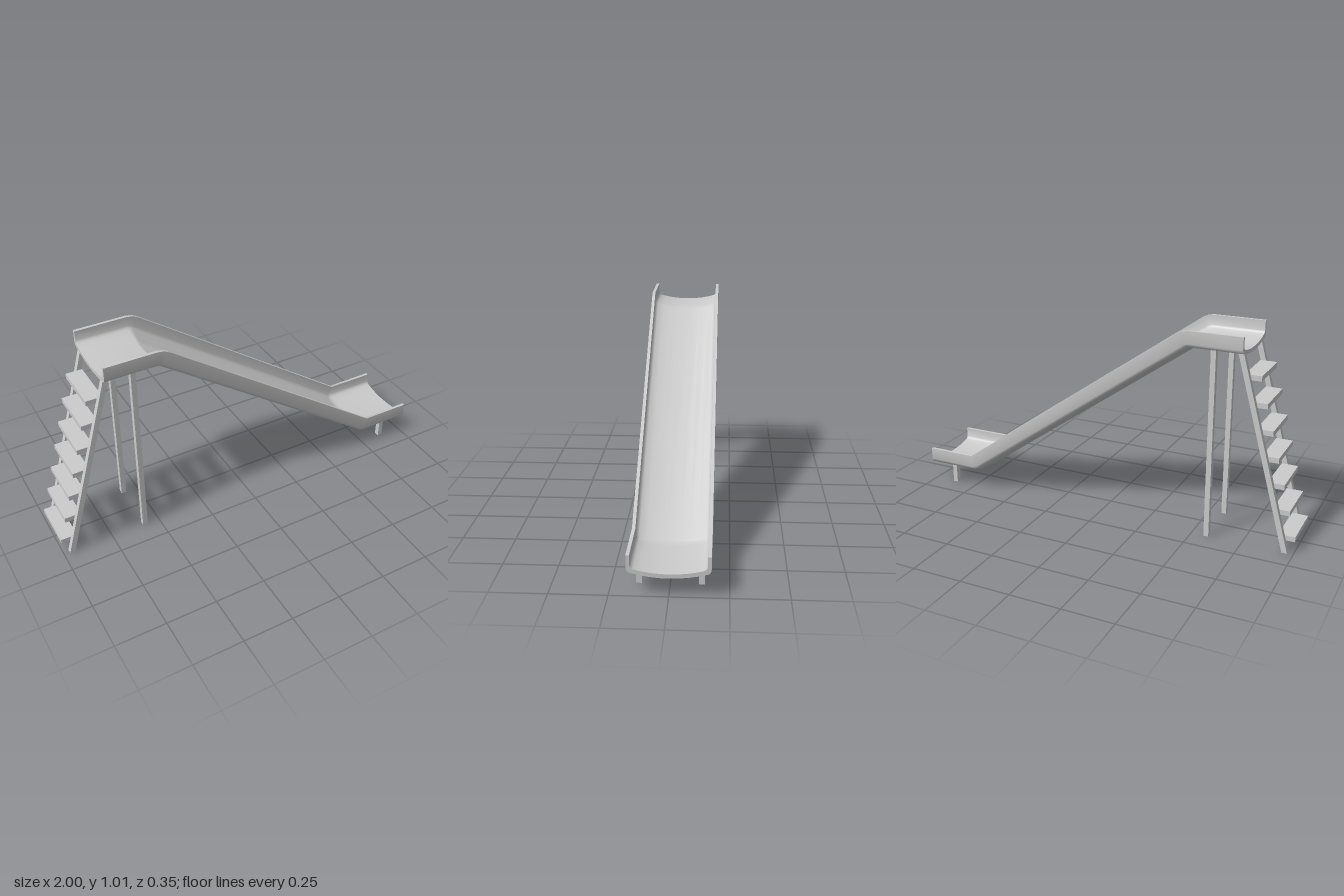
import * as THREE from 'three';
import { toCreasedNormals } from 'three/addons/utils/BufferGeometryUtils.js';

const material = new THREE.MeshStandardMaterial({ color: 0xcccccc });

function addMesh(parent, name, geometry, x = 0, y = 0, z = 0) {
  const mesh = new THREE.Mesh(geometry, material);
  mesh.name = name;
  mesh.position.set(x, y, z);
  parent.add(mesh);
  return mesh;
}

// Trough section swept along the run; each station is [x, y, tilt]
function chuteGeometry() {
  const half = [
    [0.03, 0], [0.08, 0.005], [0.115, 0.011], [0.147, 0.018], [0.163, 0.022], [0.171, 0.029], [0.175, 0.04], [0.175, 0.1],
    [0.16, 0.1], [0.16, 0.053], [0.156, 0.045], [0.147, 0.038], [0.115, 0.03], [0.075, 0.023], [0.03, 0.019],
  ];
  const profile = [...half, ...half.map(([z, h]) => [-z, h]).reverse()]
    .map(([z, h]) => new THREE.Vector2(z, h));
  const tilt = 0.611;
  const stations = [
    [-0.72, 0.91, 0], [-0.466, 0.91, 0], [-0.464, 0.9095, tilt / 2], [-0.462, 0.908, tilt],
    [0.69, 0.1, tilt], [0.713, 0.088, tilt / 2], [0.74, 0.084, 0], [1, 0.084, 0],
  ];
  const n = profile.length;
  const positions = [];
  for (const [x, y, a] of stations) {
    for (const p of profile) positions.push(x + p.y * Math.sin(a), y + p.y * Math.cos(a), p.x);
  }
  const index = [];
  for (let s = 0; s < stations.length - 1; s++) {
    for (let i = 0; i < n; i++) {
      const a = s * n + i, b = s * n + (i + 1) % n;
      index.push(a, a + n, b, b, a + n, b + n);
    }
  }
  // End faces
  const last = (stations.length - 1) * n;
  for (const [a, b, c] of THREE.ShapeUtils.triangulateShape(profile, [])) {
    index.push(a, b, c, last + a, last + c, last + b);
  }
  const geometry = new THREE.BufferGeometry();
  geometry.setAttribute('position', new THREE.Float32BufferAttribute(positions, 3));
  geometry.setIndex(index);
  return toCreasedNormals(geometry, 0.75);
}

export function createModel() {
  const model = new THREE.Group();
  model.name = 'slide';
  addMesh(model, 'chute', chuteGeometry());

  // Ladder rails, cut level at the ground
  const ladder = new THREE.Group();
  ladder.name = 'ladder';
  model.add(ladder);
  const railShape = new THREE.Shape([
    [-0.972, 0], [-0.946, 0], [-0.691, 0.927], [-0.717, 0.927],
  ].map(([x, y]) => new THREE.Vector2(x, y)));
  const rail = new THREE.ExtrudeGeometry(railShape, { depth: 0.026, bevelEnabled: false });
  rail.translate(0, 0, -0.013);

  for (const side of [1, -1]) {
    const z = side * 0.133;
    const label = side > 0 ? 'left' : 'right';
    addMesh(ladder, label + 'Rail', rail, 0, 0, z);
    // Tall posts under the platform, short posts under the exit
    addMesh(model, label + 'TallPost', new THREE.BoxGeometry(0.025, 0.93, 0.026), -0.575, 0.465, z);
    addMesh(model, label + 'ShortPost', new THREE.BoxGeometry(0.025, 0.106, 0.026), 0.875, 0.053, z);
  }

  // Ladder steps
  const step = new THREE.BoxGeometry(0.08, 0.025, 0.242);
  for (let i = 0; i < 7; i++) {
    addMesh(ladder, 'step' + (i + 1), step, -0.96 + i * 0.0338, 0.067 + i * 0.125, 0);
  }
  return model;
}
